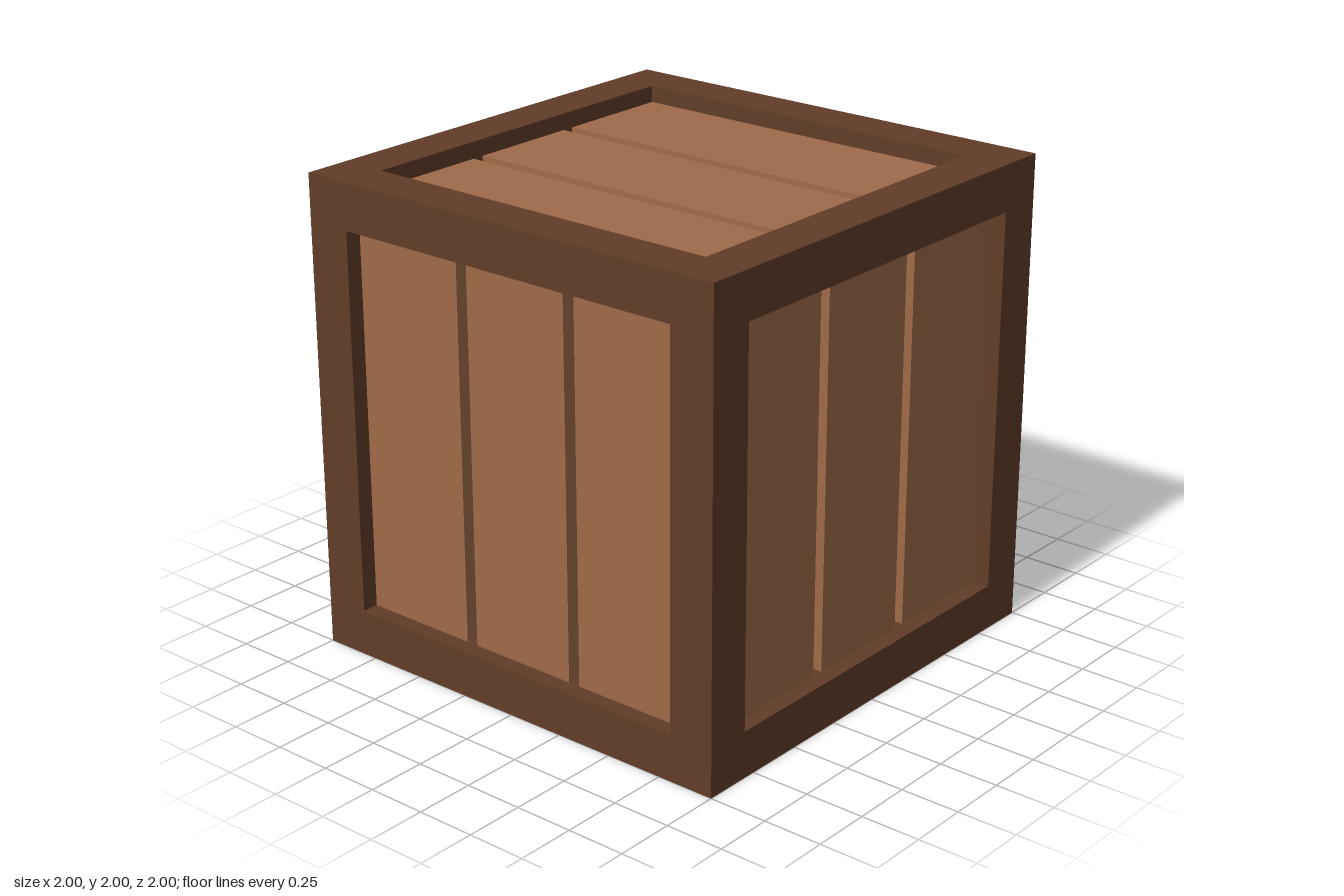
import * as THREE from 'three';

const HALF = 1;        // half size of the crate
const INNER = 0.805;   // inner edge of the frame
const BEAM = HALF - INNER;
const FACE = 0.93;     // outer surface of the planks
const CORE = 0.84;     // bottom of the grooves

const frameWood = new THREE.MeshStandardMaterial({ name: 'darkFrameWood', color: 0x623d29 });
const plankWood = new THREE.MeshStandardMaterial({ name: 'plankWood', color: 0xa06a49 });
const grooveWood = new THREE.MeshStandardMaterial({ name: 'grooveWood', color: 0x66412d });

function box(name, material, size, position) {
  const mesh = new THREE.Mesh(new THREE.BoxGeometry(...size), material);
  mesh.name = name;
  mesh.position.set(...position);
  return mesh;
}

// Three planks with two grooves, facing +z
function plankPanel(name) {
  const panel = new THREE.Group();
  panel.name = name;
  for (const [a, b] of [[-INNER, -0.294], [-0.242, 0.242], [0.294, INNER]]) {
    panel.add(box('plank', plankWood, [b - a, 2 * INNER, FACE - CORE], [(a + b) / 2, 0, (FACE + CORE) / 2]));
  }
  return panel;
}

export function createModel() {
  const crate = new THREE.Group();
  crate.name = 'crate';
  const body = new THREE.Group();
  body.name = 'body';
  body.position.y = HALF;
  crate.add(body);

  // Frame: four full posts, with rails fitted between them
  const c = HALF - BEAM / 2;
  for (const s of [-1, 1]) {
    for (const t of [-1, 1]) {
      body.add(box('cornerPost', frameWood, [BEAM, 2 * HALF, BEAM], [s * c, 0, t * c]));
      body.add(box('widthRail', frameWood, [2 * INNER, BEAM, BEAM], [0, s * c, t * c]));
      body.add(box('depthRail', frameWood, [BEAM, BEAM, 2 * INNER], [s * c, t * c, 0]));
    }
  }

  // Dark core seen at the bottom of the grooves
  body.add(box('core', grooveWood, [2 * CORE, 2 * CORE, 2 * CORE], [0, 0, 0]));

  // Upright planks on the four sides
  ['frontPanel', 'leftPanel', 'backPanel', 'rightPanel'].forEach((name, i) => {
    const panel = plankPanel(name);
    panel.rotation.y = i * Math.PI / 2;
    body.add(panel);
  });

  // Planks running along x on the top and bottom
  for (const s of [-1, 1]) {
    const turned = plankPanel(s > 0 ? 'topPanel' : 'bottomPanel');
    turned.rotation.set(-s * Math.PI / 2, 0, Math.PI / 2);
    body.add(turned);
  }
  return crate;
}
